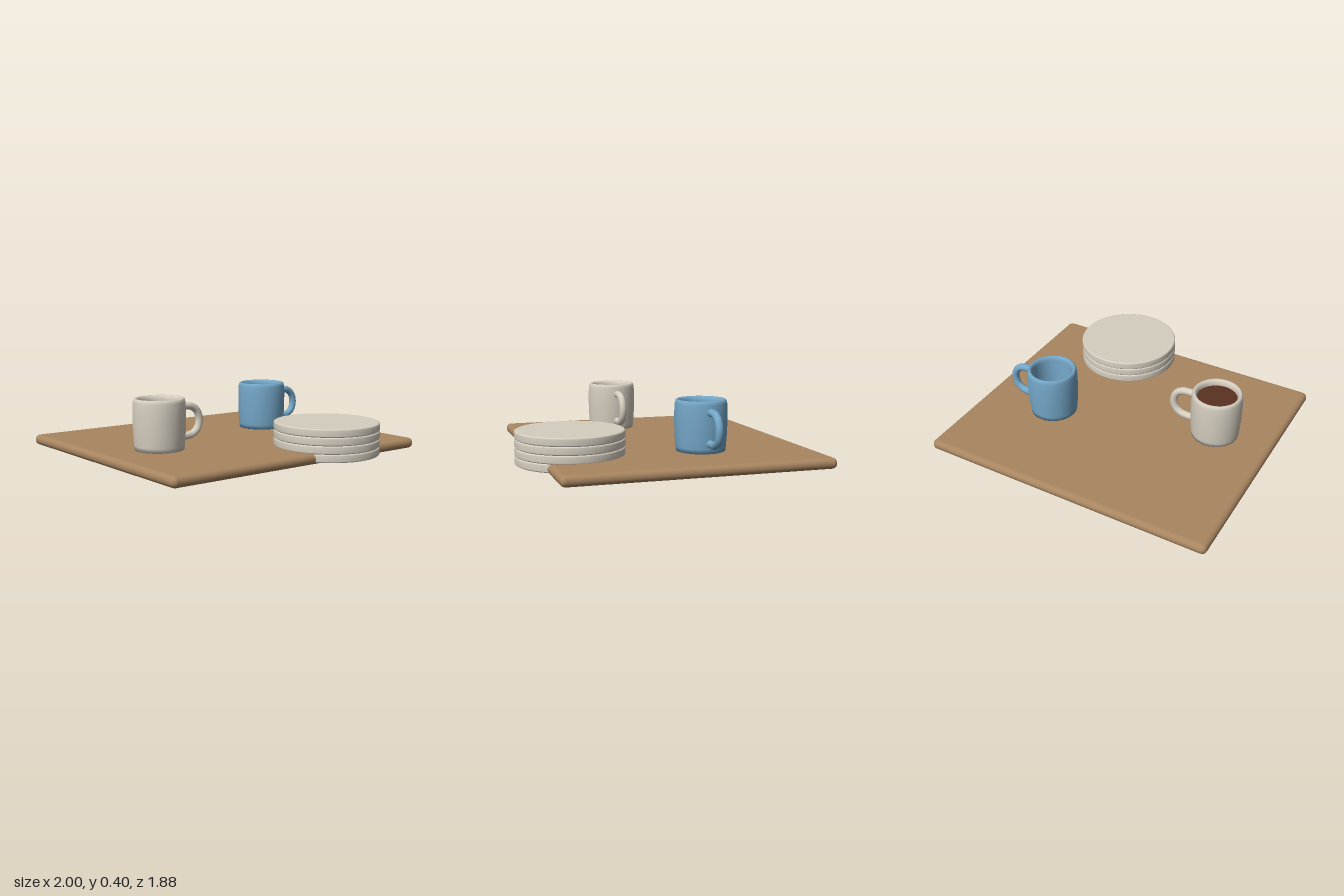
import * as THREE from 'three';
import { RoundedBoxGeometry } from 'three/addons/geometries/RoundedBoxGeometry.js';

const material = (name, color, side = THREE.FrontSide) =>
  new THREE.MeshStandardMaterial({ name, color, side });

function part(name, geometry, mat, x = 0, y = 0, z = 0) {
  const mesh = new THREE.Mesh(geometry, mat);
  mesh.name = name;
  mesh.position.set(x, y, z);
  return mesh;
}

const lathe = (points, segments) =>
  new THREE.LatheGeometry(points.map(([r, y]) => new THREE.Vector2(r, y)), segments);

// Mug with an open base ring, a rounded rim and a D-shaped handle towards +x
function createMug(name, mat) {
  const mug = new THREE.Group();
  mug.name = name;
  const profile = [
    [0.1, 0], [0.158, 0], [0.162, 0.03], [0.167, 0.1], [0.17, 0.18], [0.17, 0.25],
    [0.167, 0.305], [0.163, 0.322], [0.155, 0.33], [0.146, 0.328], [0.138, 0.318],
    [0.133, 0.3], [0.131, 0.2], [0.126, 0.08], [0.118, 0.03], [0.1, 0.015],
  ];
  mug.add(part('mugBody', lathe(profile, 40), mat));
  const path = new THREE.CatmullRomCurve3([
    [0.15, 0.26], [0.2, 0.262], [0.25, 0.255], [0.292, 0.225], [0.312, 0.165],
    [0.297, 0.105], [0.255, 0.072], [0.2, 0.064], [0.15, 0.066],
  ].map(([x, y]) => new THREE.Vector3(x, y, 0)));
  mug.add(part('mugHandle', new THREE.TubeGeometry(path, 36, 0.025, 14), mat));
  return mug;
}

export function createModel() {
  const model = new THREE.Group();
  model.name = 'servingTray';
  const wood = material('wood', 0xa88560);
  const cream = material('creamCeramic', 0xd5cec0, THREE.DoubleSide);
  const blue = material('blueCeramic', 0x74a7c8, THREE.DoubleSide);
  const coffeeBrown = material('coffeeBrown', 0x5a3220);

  // Board with rounded edges
  model.add(part('board', new RoundedBoxGeometry(2, 0.07, 1.73, 5, 0.034), wood, 0, 0.035, -0.077));

  // Mugs
  const creamMug = createMug('creamMug', cream);
  creamMug.position.set(-0.604, 0.07, 0.055);
  const coffee = new THREE.CircleGeometry(0.134, 40).rotateX(-Math.PI / 2);
  creamMug.add(part('coffee', coffee, coffeeBrown, 0, 0.29, 0));
  const blueMug = createMug('blueMug', blue);
  blueMug.position.set(0.487, 0.07, -0.235);
  model.add(creamMug, blueMug);

  // Stack of four plates overhanging the front edge
  const stack = new THREE.Group();
  stack.name = 'plateStack';
  stack.position.set(0.353, 0.013, 0.588);
  const h = 0.053;
  // Flat faces are separate from the rounded side so the edges stay crisp
  const side = lathe([
    [0.338, 0], [0.344, 0.003], [0.347, 0.009], [0.347, h - 0.009], [0.344, h - 0.003], [0.338, h],
  ], 48);
  const face = new THREE.CircleGeometry(0.338, 48).rotateX(-Math.PI / 2);
  for (let i = 0; i < 4; i++) {
    const plate = new THREE.Group();
    plate.name = 'plate' + (i + 1);
    plate.position.y = i * h;
    const bottom = part('plateBottom', face, cream);
    bottom.rotation.x = Math.PI;
    plate.add(part('plateEdge', side, cream), part('plateTop', face, cream, 0, h, 0), bottom);
    stack.add(plate);
  }
  model.add(stack);
  return model;
}
